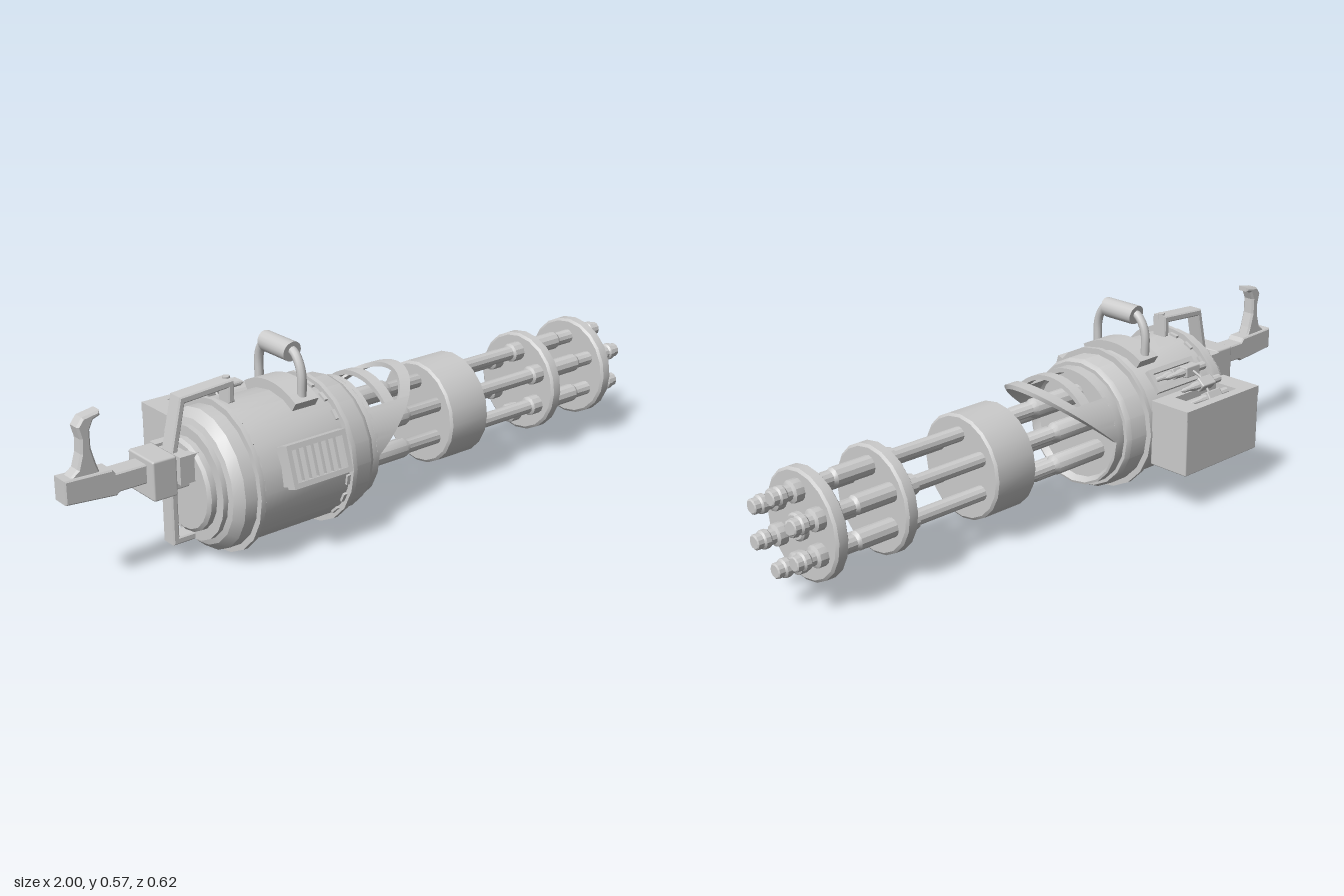
import * as THREE from 'three';
import { toCreasedNormals } from 'three/addons/utils/BufferGeometryUtils.js';
import { RoundedBoxGeometry } from 'three/addons/geometries/RoundedBoxGeometry.js';

const CY = 0.225, CZ = 0.05; // barrel axis
const mat = new THREE.MeshStandardMaterial({ color: 0xcccccc });

function add(parent, name, geo, x = 0, y = 0, z = 0) {
  const mesh = new THREE.Mesh(geo, mat);
  mesh.name = name;
  mesh.position.set(x, y, z);
  parent.add(mesh);
  return mesh;
}

// Turned solid about the x axis; profile is [x, radius] from back to front
function turned(profile, sides) {
  const geo = new THREE.LatheGeometry(profile.map(([x, r]) => new THREE.Vector2(r, x)), sides);
  return toCreasedNormals(geo.rotateZ(-Math.PI / 2), 0.5);
}

// Curved plate on the barrel axis; angle is from straight up, x limits are functions of angle
function curvedPlate(a0, a1, r0, r1, xBack, xFront, n = 14) {
  const geo = new THREE.BoxGeometry(1, 1, 1, n, 1, 1);
  const p = geo.attributes.position;
  for (let i = 0; i < p.count; i++) {
    const a = a0 + (p.getX(i) + 0.5) * (a1 - a0);
    const r = p.getY(i) > 0 ? r1 : r0;
    const x = p.getZ(i) > 0 ? xFront(a) : xBack(a);
    p.setXYZ(i, x, r * Math.cos(a), -r * Math.sin(a));
  }
  return toCreasedNormals(geo, 0.5);
}

const poly = (pts) => new THREE.Shape(pts.map(([x, y]) => new THREE.Vector2(x, y)));

// Flat xy outline extruded along z, centred on z = 0
function slab(pts, depth, bevel = 0.004) {
  const geo = new THREE.ExtrudeGeometry(poly(pts), {
    depth: depth - 2 * bevel, bevelEnabled: bevel > 0, bevelSize: bevel, bevelThickness: bevel, bevelOffset: -bevel, bevelSegments: 1,
  });
  return geo.translate(0, 0, bevel - depth / 2);
}

// Rectangular frame lying flat (w along x, d along z), h tall
function frame(w, d, h, holeW, holeD) {
  const rect = (a, b) => [[-a / 2, -b / 2], [a / 2, -b / 2], [a / 2, b / 2], [-a / 2, b / 2]];
  const shape = poly(rect(w, d));
  shape.holes.push(poly(rect(holeW, holeD)));
  return new THREE.ExtrudeGeometry(shape, { depth: h, bevelEnabled: false }).rotateX(-Math.PI / 2);
}

function path(points) {
  const curve = new THREE.CurvePath();
  const v = points.map((p) => new THREE.Vector3(...p));
  for (let i = 1; i < v.length; i++) curve.add(new THREE.LineCurve3(v[i - 1], v[i]));
  return curve;
}

export function createModel() {
  const model = new THREE.Group();
  const core = new THREE.Group();
  core.name = 'rotaryCore';
  core.position.set(0, CY, CZ);
  model.add(core);

  // Housing with rear dome and recessed front mouth
  add(core, 'housing', turned([[-0.64, 0], [-0.64, 0.125], [-0.632, 0.135], [-0.615, 0.135], [-0.615, 0.165],
    [-0.6, 0.165], [-0.595, 0.182], [-0.57, 0.204], [-0.14, 0.204], [-0.125, 0.196], [-0.125, 0.185],
    [-0.092, 0.185], [-0.09, 0.178], [-0.11, 0.165], [-0.11, 0]], 20));
  for (const x of [-0.525, -0.21]) {
    add(core, 'housingFlange', turned([[x - 0.007, 0.19], [x - 0.007, 0.222], [x + 0.007, 0.222], [x + 0.007, 0.19]], 20));
    const side = x < -0.4 ? 1 : -1;
    for (let i = 0; i < 20; i++) {
      const a = (i + 0.5) * Math.PI / 10;
      const bolt = add(core, 'flangeBolt', new THREE.BoxGeometry(0.012, 0.014, 0.03),
        x + side * 0.012, 0.202 * Math.cos(a), 0.202 * Math.sin(a));
      bolt.rotation.x = a;
    }
  }

  // Drum and discs that hold the barrels
  const disc = (x0, x1) => turned([[x0, 0], [x0, 0.152], [x0 + 0.006, 0.16], [x1 - 0.006, 0.16], [x1, 0.152], [x1, 0]], 20);
  add(core, 'barrelDrum', disc(0.21, 0.36));
  add(core, 'middleDisc', disc(0.64, 0.68));
  add(core, 'frontDisc', disc(0.87, 0.91));
  add(core, 'centreBoss', turned([[0.9, 0.04], [0.925, 0.04], [0.93, 0.034], [0.93, 0.027], [0.945, 0.024], [0.95, 0.016], [0.95, 0]], 16));

  // Six barrels
  const barrelGeo = turned([[-0.12, 0], [-0.12, 0.03], [0.075, 0.03], [0.09, 0.022], [0.6, 0.022], [0.605, 0.03], [0.64, 0.03],
    [0.685, 0.028], [0.8, 0.028], [0.81, 0.022], [0.87, 0.022], [0.91, 0.032], [0.935, 0.032], [0.94, 0.022],
    [0.955, 0.022], [0.96, 0.027], [0.975, 0.027], [0.98, 0.022], [0.997, 0.022], [1, 0.018], [1, 0]], 12);
  for (let i = 0; i < 6; i++) {
    const a = i * Math.PI / 3;
    add(core, 'barrel', barrelGeo, 0, 0.103 * Math.cos(a), 0.103 * Math.sin(a));
  }

  // Slanted hood with two windows across the top
  const tip = (a) => -0.09 + 0.22 * Math.cos(a);
  const hood = (a0, a1, back, front) => add(core, 'hood', curvedPlate(a0, a1, 0.17, 0.184, back, front));
  const rear = () => -0.1, W = 0.8;
  hood(-Math.PI / 2, -W, rear, tip);
  hood(W, Math.PI / 2, rear, tip);
  hood(-W, W, rear, () => -0.085);
  hood(-W, W, () => -0.03, () => 0.005);
  hood(-W, W, (a) => tip(a) - 0.04, tip);

  // Carrying handle on a curved saddle
  add(core, 'handleSaddle', curvedPlate(-0.55, 0.55, 0.19, 0.231, () => -0.34, () => -0.26));
  const handle = new THREE.CatmullRomCurve3([[0.147, 0.43], [0.147, 0.49], [0.135, 0.525], [0.112, 0.55], [0.07, 0.553],
    [0.02, 0.553], [-0.016, 0.55], [-0.04, 0.525], [-0.052, 0.49], [-0.052, 0.43]].map(([z, y]) => new THREE.Vector3(-0.3, y, z)));
  add(model, 'handleFrame', new THREE.TubeGeometry(handle, 36, 0.0135, 10));
  const grip = new THREE.CylinderGeometry(0.03, 0.03, 0.12, 16).rotateX(Math.PI / 2);
  const gp = grip.attributes.position;
  for (let i = 0; i < gp.count; i++) gp.setZ(i, gp.getZ(i) * (1 + gp.getY(i) * 3));
  add(model, 'handleGrip', toCreasedNormals(grip, 0.6), -0.3, 0.548, 0.046);

  // Rear mounting rails, above and below
  add(model, 'upperRail', slab([[-0.68, 0.33], [-0.645, 0.485], [-0.47, 0.497], [-0.47, 0.43], [-0.49, 0.43], [-0.49, 0.475],
    [-0.63, 0.465], [-0.66, 0.33]], 0.052), 0, 0, CZ - 0.005);
  add(model, 'railPin', new THREE.CylinderGeometry(0.011, 0.011, 0.02, 10), -0.48, 0.492, CZ - 0.005);
  add(model, 'lowerRail', slab([[-0.685, 0.26], [-0.685, 0.062], [-0.59, 0.062], [-0.59, 0.083], [-0.665, 0.083], [-0.665, 0.26]], 0.052),
    0, 0, CZ - 0.005);

  // Rear block, arm and upright grip
  add(model, 'rearBlock', new RoundedBoxGeometry(0.075, 0.115, 0.125, 1, 0.006), -0.722, 0.284, 0.043);
  add(model, 'rearSpindle', new RoundedBoxGeometry(0.08, 0.1, 0.09, 1, 0.006), -0.655, 0.284, 0.045);
  for (const z of [-0.015, 0.105]) add(model, 'spindleLug', new THREE.BoxGeometry(0.06, 0.08, 0.03), -0.655, 0.3, z);
  add(model, 'rearArm', slab([[-1, 0.275], [-0.85, 0.262], [-0.84, 0.27], [-0.75, 0.27], [-0.75, 0.325], [-0.85, 0.325], [-0.86, 0.338], [-1, 0.343]], 0.06),
    0, 0, 0.042);
  add(model, 'rearGrip', slab([[-0.985, 0.335], [-0.955, 0.36], [-0.943, 0.4], [-0.941, 0.44], [-0.95, 0.475], [-0.932, 0.498],
    [-0.88, 0.507], [-0.88, 0.492], [-0.9, 0.485], [-0.912, 0.46], [-0.912, 0.41], [-0.9, 0.365], [-0.89, 0.335]], 0.042, 0.006), 0, 0, 0.042);

  // Louvred vent, facing outward from the axis on the front
  const vent = new THREE.Group();
  vent.name = 'vent';
  vent.rotation.x = Math.PI / 2 - 0.314;
  core.add(vent);
  add(vent, 'ventBase', new THREE.BoxGeometry(0.19, 0.06, 0.11), -0.35, 0.205, 0);
  add(vent, 'ventFrame', frame(0.2, 0.12, 0.032, 0.172, 0.09), -0.35, 0.223, 0);
  for (let i = 0; i < 7; i++) {
    const slat = add(vent, 'ventSlat', new THREE.BoxGeometry(0.013, 0.02, 0.09), -0.425 + i * 0.025, 0.242, 0);
    slat.rotation.z = 0.3;
  }

  // Ammunition box with an open slot in its lid
  add(model, 'ammoBox', new RoundedBoxGeometry(0.33, 0.18, 0.14, 1, 0.004), -0.375, 0.22, -0.236);
  add(model, 'ammoBoxLid', frame(0.33, 0.14, 0.03, 0.19, 0.08), -0.375, 0.305, -0.236);
  add(model, 'boxBracket', new THREE.BoxGeometry(0.25, 0.12, 0.05), -0.375, 0.25, -0.15);

  // Feed opening on the housing
  const feed = new THREE.Group();
  feed.name = 'feedPort';
  feed.rotation.x = -0.86;
  core.add(feed);
  add(feed, 'feedFrame', frame(0.2, 0.075, 0.03, 0.17, 0.045), -0.375, 0.185, 0);

  // Belt of cartridges running from the box into the housing
  const round = turned([[-0.085, 0], [-0.085, 0.013], [0.03, 0.013], [0.045, 0.008], [0.075, 0.007], [0.09, 0]], 10);
  for (const [z, y, tilt] of [[-0.1, 0.36, 0.5], [-0.15, 0.382, 0.05], [-0.212, 0.356, -0.7], [-0.243, 0.322, -1]]) {
    const cartridge = new THREE.Group();
    cartridge.name = 'cartridge';
    cartridge.position.set(-0.375, y, z);
    cartridge.rotation.x = tilt;
    model.add(cartridge);
    add(cartridge, 'cartridgeBody', round);
    add(cartridge, 'cartridgeClip', new RoundedBoxGeometry(0.06, 0.034, 0.034, 1, 0.004), -0.02);
  }
  const link = path([[-0.395, 0.36, -0.1], [-0.395, 0.384, -0.14], [-0.395, 0.384, -0.165], [-0.395, 0.37, -0.2], [-0.395, 0.325, -0.235]]);
  add(model, 'beltLink', new THREE.TubeGeometry(link, 24, 0.004, 6));

  return model;
}
